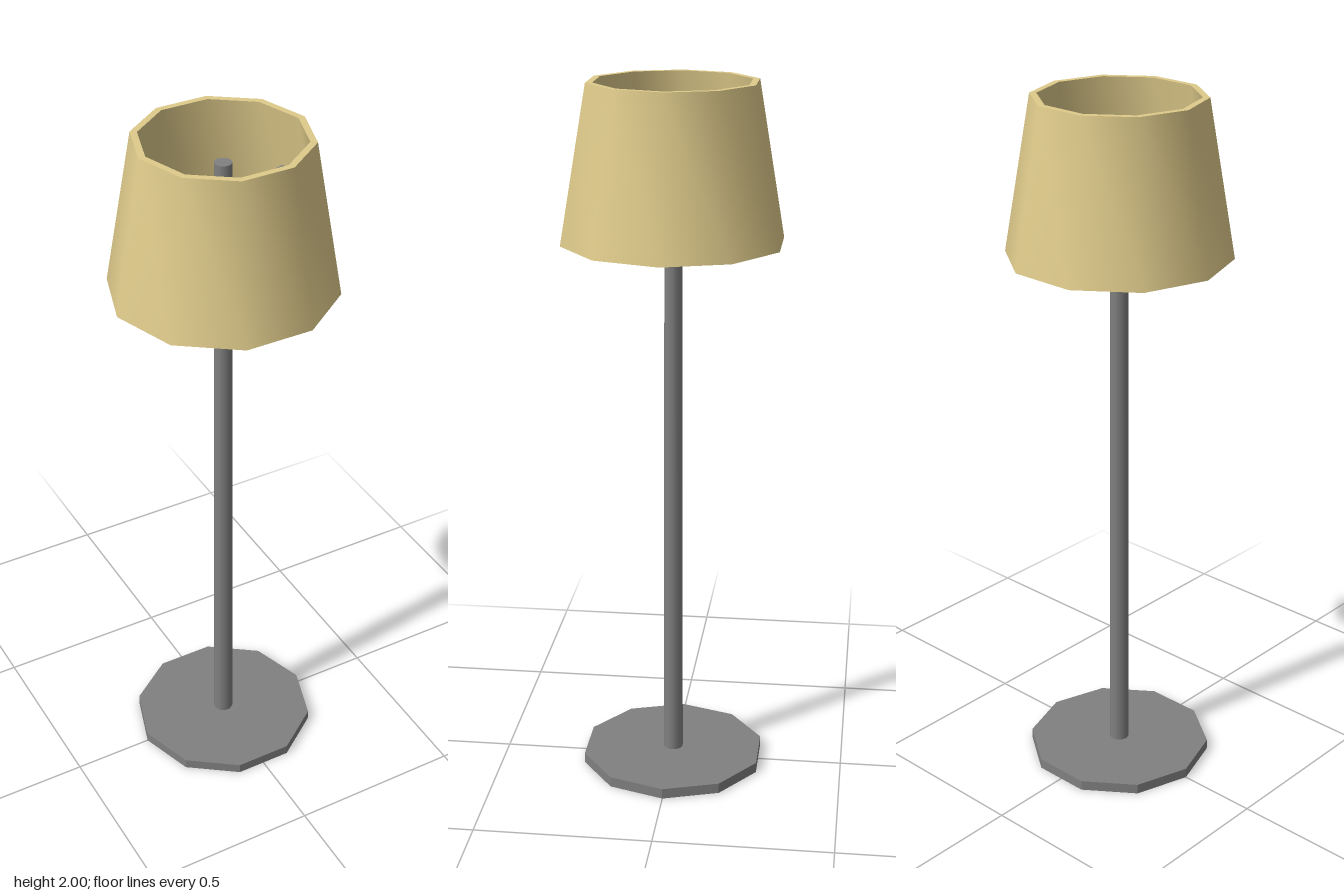
import * as THREE from 'three';
import { toCreasedNormals } from 'three/addons/utils/BufferGeometryUtils.js';

const SIDES = 10;

export function createModel() {
  const lamp = new THREE.Group();
  lamp.name = 'floorLamp';

  const metal = new THREE.MeshStandardMaterial({ color: 0x808080 });
  metal.name = 'greyMetal';
  const fabric = new THREE.MeshStandardMaterial({ color: 0xdfcb8b });
  fabric.name = 'tanFabric';

  const add = (name, geometry, material, y = 0) => {
    const mesh = new THREE.Mesh(geometry, material);
    mesh.name = name;
    mesh.position.y = y;
    lamp.add(mesh);
    return mesh;
  };
  // Ten-sided cylinder with a corner on the x axis
  const decagon = (top, bottom, height) =>
    new THREE.CylinderGeometry(top, bottom, height, SIDES, 1, false, Math.PI / 2);

  // Flat foot
  add('base', toCreasedNormals(decagon(0.268, 0.268, 0.03), 0.3), metal, 0.015);

  // Slightly tapered pole ending inside the shade
  add('pole', decagon(0.024, 0.029, 1.9), metal, 0.98);

  // Open shade with wall thickness: closed profile outside, rim, inside, lower rim
  const profile = [
    [0.312, 1.565], [0.237, 2], [0.218, 2], [0.288, 1.565], [0.312, 1.565],
  ].map(([r, y]) => new THREE.Vector2(r, y));
  const shade = new THREE.LatheGeometry(profile, SIDES, Math.PI / 2);
  add('shade', toCreasedNormals(shade, 0.75), fabric);

  // Two thin arms joining the pole to opposite shade panels
  for (const side of [1, -1]) {
    const bar = new THREE.BoxGeometry(0.226, 0.012, 0.012);
    bar.translate(side * 0.131, 0, 0);
    add(side > 0 ? 'leftShadeArm' : 'rightShadeArm', bar, metal, 1.825)
      .rotation.y = Math.PI / SIDES;
  }

  return lamp;
}
